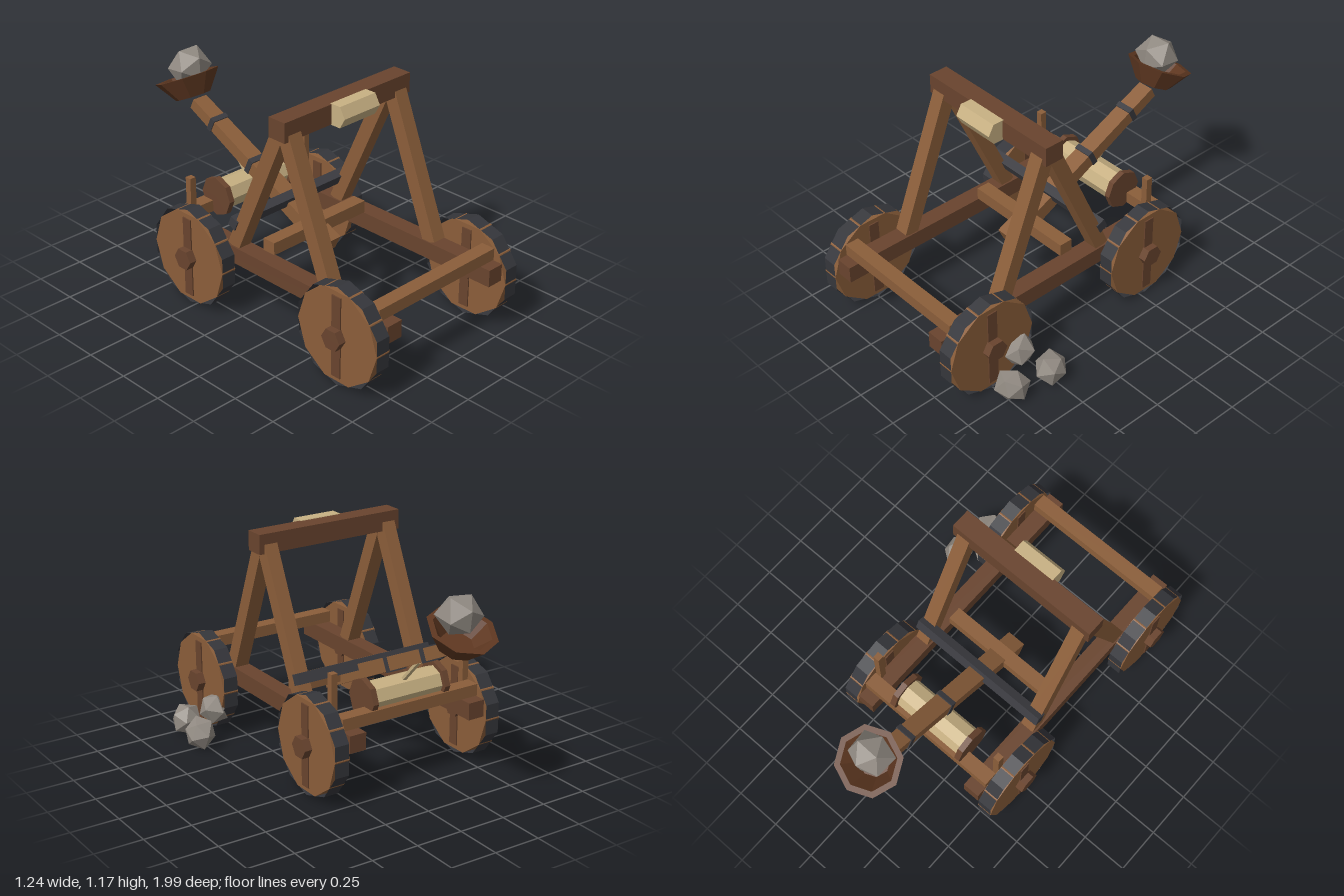
import * as THREE from 'three';

const mat = (color, side = THREE.FrontSide) => new THREE.MeshStandardMaterial({ color, flatShading: true, side });
const WOOD = mat(0x8b5e3a), DARK = mat(0x69442e), BOWL = mat(0x5f3821, THREE.DoubleSide);
const IRON = mat(0x3b3b40), TYRE = mat(0x35363b, THREE.DoubleSide), CLOTH = mat(0xc8b183), STONE = mat(0x918a82);

const CX = -0.104; // centre line of the machine; the loose stones lie beside it

export function createModel() {
  const root = new THREE.Group();

  const add = (name, geo, material, x, y, z, parent = root) => {
    const m = new THREE.Mesh(geo, material);
    m.name = name;
    m.position.set(x, y, z);
    parent.add(m);
    return m;
  };
  const box = (name, material, size, pos, parent) =>
    add(name, new THREE.BoxGeometry(...size), material, ...pos, parent);
  // Prism lying along x
  const prism = (name, material, r, len, sides, pos, parent, open = false, start = 0) => {
    const g = new THREE.CylinderGeometry(r, r, len, sides, 1, open, start).rotateZ(Math.PI / 2);
    return add(name, g, material, ...pos, parent);
  };
  // Square beam between two points given as [y, z]
  const leg = (name, x, [y0, z0], [y1, z1], w, t) => {
    const m = box(name, WOOD, [w, Math.hypot(y1 - y0, z1 - z0), t], [x, (y0 + y1) / 2, (z0 + z1) / 2]);
    m.rotation.x = Math.atan2(z1 - z0, y1 - y0);
  };
  // Irregular stone: icosahedron with each corner pushed by a rule
  const stone = (name, r, x, y, z, seed) => {
    const g = new THREE.IcosahedronGeometry(r, 0);
    const p = g.attributes.position, v = new THREE.Vector3();
    for (let i = 0; i < p.count; i++) {
      v.fromBufferAttribute(p, i);
      const k = Math.sin(v.x / r * 5.1 + v.y / r * 7.3 + v.z / r * 3.7 + seed);
      v.multiplyScalar(1 + 0.08 * k);
      p.setXYZ(i, v.x, v.y, v.z);
    }
    g.computeVertexNormals();
    add(name, g, STONE, x, y, z).rotation.set(seed, seed * 1.7, seed * 0.6);
  };

  for (const s of [-1, 1]) {
    const side = s > 0 ? 'left' : 'right';

    // Chassis rail, A-frame legs and rear post
    box(side + 'Rail', DARK, [0.092, 0.09, 1.5], [CX + s * 0.354, 0.35, 0.226]);
    leg(side + 'FrontLeg', CX + s * 0.354, [0.39, 0.585], [1.13, 0.292], 0.078, 0.076);
    leg(side + 'RearLeg', CX + s * 0.354, [0.39, -0.062], [1.13, 0.272], 0.074, 0.076);
    box(side + 'Post', WOOD, [0.035, 0.34, 0.035], [CX + s * 0.392, 0.49, -0.365]);

    // Wheels: wooden disc, iron band, plank and hub
    for (const [end, z] of [['Front', 0.747], ['Rear', -0.283]]) {
      const wheel = new THREE.Group();
      wheel.name = side + end + 'Wheel';
      wheel.position.set(CX + s * 0.45, 0.282, z);
      root.add(wheel);
      prism('wheelDisc', WOOD, 0.251, 0.084, 10, [0, 0, 0], wheel);
      prism('wheelBand', TYRE, 0.262, 0.079, 10, [0, 0, 0], wheel, true, Math.PI / 2);
      box('wheelPlank', DARK, [0.097, 0.43, 0.056], [0, 0, 0], wheel);
      prism('wheelHub', DARK, 0.058, 0.145, 6, [s * 0.011, 0, 0], wheel);
    }

    // Winch end plates
    prism(side + 'WinchPlate', DARK, 0.104, 0.031, 8, [CX + s * 0.213, 0.491, -0.368]);
  }

  // Cross beams of the chassis
  box('frontBeam', WOOD, [0.802, 0.062, 0.075], [CX, 0.429, 0.886]);
  box('middleBeam', WOOD, [0.63, 0.066, 0.075], [CX, 0.427, 0.112]);
  box('rearBeam', WOOD, [0.802, 0.062, 0.075], [CX, 0.429, -0.43]);

  // Top beam with padded stop
  box('topBeam', DARK, [0.836, 0.102, 0.104], [CX, 1.139, 0.285]);
  prism('stopPad', CLOTH, 0.062, 0.235, 6, [CX, 1.139, 0.36]);

  // Iron pivot bar, winch drum and rope
  box('pivotBar', IRON, [0.796, 0.056, 0.05], [CX, 0.523, -0.053]).rotation.x = 0.42;
  prism('winchDrum', CLOTH, 0.081, 0.4, 8, [CX, 0.491, -0.368]);
  const rope = add('rope', new THREE.CylinderGeometry(0.014, 0.014, 0.19, 6), CLOTH, CX, 0.615, -0.455);
  rope.rotation.x = -0.75;

  // Throwing arm, thicker at its lower (front) end, with two iron bands
  const arm = new THREE.Group();
  arm.name = 'throwingArm';
  arm.position.set(CX, 0.588, -0.266);
  arm.rotation.x = 0.45;
  root.add(arm);
  const beam = new THREE.BoxGeometry(0.088, 0.06, 1.08);
  const p = beam.attributes.position;
  for (let i = 0; i < p.count; i++) {
    if (p.getZ(i) > 0) p.setXY(i, p.getX(i) * 1.16, p.getY(i) * 1.38);
  }
  add('armBeam', beam, WOOD, 0, 0, 0, arm);
  box('lowerArmBand', IRON, [0.102, 0.084, 0.03], [0, 0, -0.06], arm);
  box('upperArmBand', IRON, [0.1, 0.076, 0.03], [0, 0, -0.375], arm);

  // Eight-sided bowl, tipped back
  const profile = [[0, 0], [0.095, 0], [0.173, 0.109], [0.142, 0.109], [0.08, 0.025], [0, 0.025]]
    .map(([x, y]) => new THREE.Vector2(x, y));
  add('bowl', new THREE.LatheGeometry(profile, 8), BOWL, CX, 0.842, -0.793).rotation.x = -0.43;

  // Loaded stone and the spare pile
  stone('loadedStone', 0.11, CX, 1.002, -0.815, 0.9);
  stone('spareStone1', 0.085, 0.495, 0.092, 0.72, 2.1);
  stone('spareStone2', 0.085, 0.39, 0.172, 0.592, 3.4);
  stone('spareStone3', 0.085, 0.53, 0.098, 0.505, 4.6);

  return root;
}
